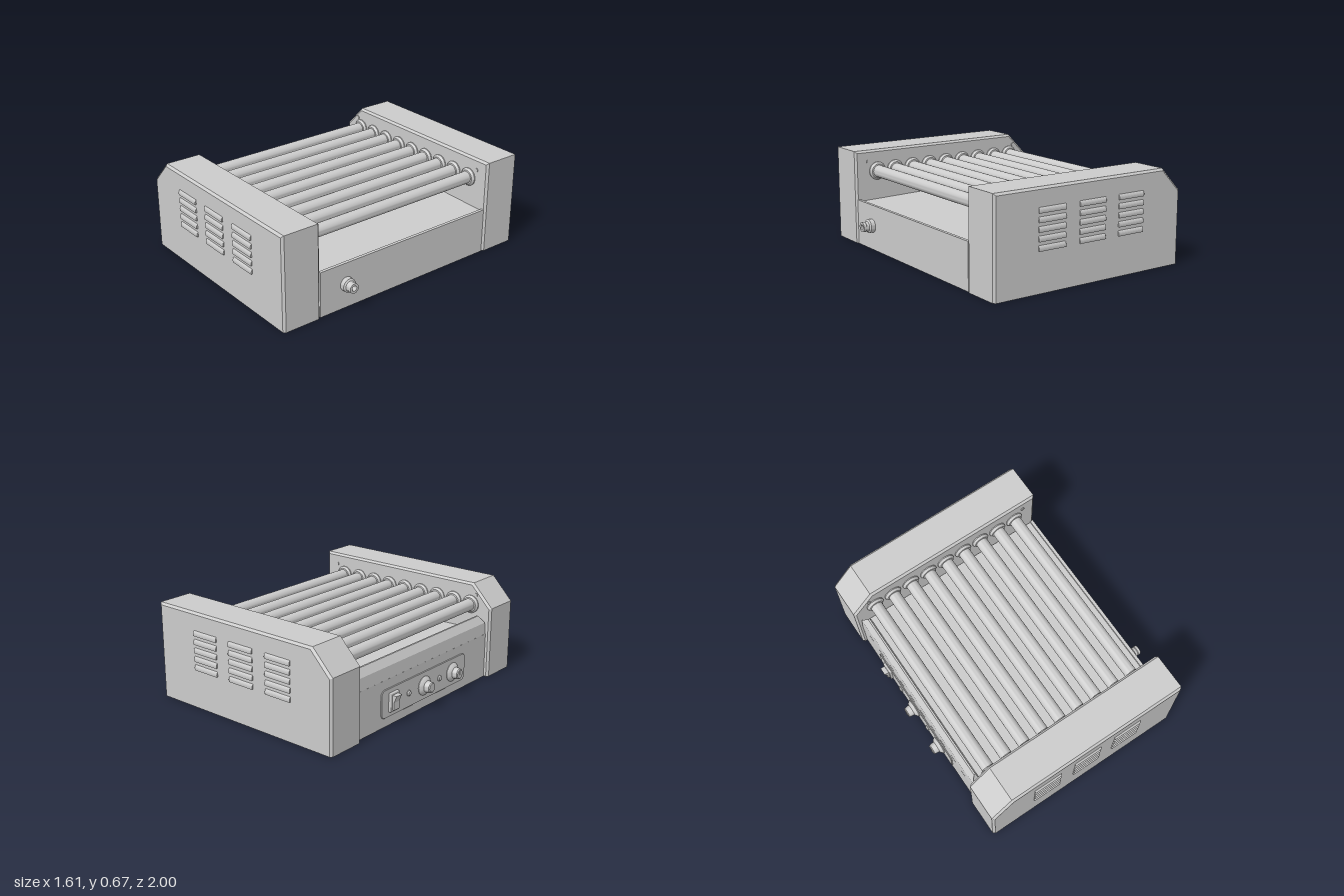
import * as THREE from 'three';
import { toCreasedNormals } from 'three/addons/utils/BufferGeometryUtils.js';
import { RoundedBoxGeometry } from 'three/addons/geometries/RoundedBoxGeometry.js';

const grey = new THREE.MeshStandardMaterial({ color: 0xcccccc });

function add(parent, name, geometry, x = 0, y = 0, z = 0) {
  const mesh = new THREE.Mesh(geometry, grey);
  mesh.name = name;
  mesh.position.set(x, y, z);
  parent.add(mesh);
  return mesh;
}

const polygon = (pts) => new THREE.Shape(pts.map(([x, y]) => new THREE.Vector2(x, y)));

// Prism along z, centred on z = 0
function prism(pts, depth) {
  return new THREE.ExtrudeGeometry(polygon(pts), { depth, bevelEnabled: false }).translate(0, 0, -depth / 2);
}

// Turned part with crisp edges; profile is [radius, height]
function turned(profile, segments = 32) {
  const lathe = new THREE.LatheGeometry(profile.map(([r, h]) => new THREE.Vector2(r, h)), segments);
  return toCreasedNormals(lathe, 0.5);
}

function roundedRect(w, h, r) {
  const s = new THREE.Shape();
  const x = w / 2, y = h / 2;
  s.absarc(x - r, y - r, r, 0, Math.PI / 2);
  s.absarc(-x + r, y - r, r, Math.PI / 2, Math.PI);
  s.absarc(-x + r, -y + r, r, Math.PI, Math.PI * 1.5);
  s.absarc(x - r, -y + r, r, Math.PI * 1.5, Math.PI * 2);
  return s;
}

// End housing with a sloped corner, bevelled edges and a flat bottom
function housingGeometry() {
  const b = 0.015;
  const g = new THREE.ExtrudeGeometry(
    polygon([[-0.75, b], [0.715, b], [0.715, 0.65], [-0.604, 0.65], [-0.75, 0.499]]),
    { depth: 0.25, bevelEnabled: true, bevelSize: b, bevelThickness: b, bevelSegments: 1 });
  const p = g.attributes.position;
  for (let i = 0; i < p.count; i++) if (p.getY(i) < 0.03) p.setY(i, 0);
  g.computeVertexNormals();
  return g.translate(0, 0, 0.725);
}

function createHousing(name, turn) {
  const group = new THREE.Group();
  group.name = name;
  add(group, 'housingShell', housingGeometry());

  // Three columns of pressed louvres, hooded at the top
  const hood = new THREE.Shape();
  hood.moveTo(-0.004, -0.017);
  hood.lineTo(0.008, -0.017);
  hood.quadraticCurveTo(0.013, 0.008, -0.004, 0.018);
  const louvre = new THREE.ExtrudeGeometry(hood, {
    depth: 0.196, bevelEnabled: true, bevelSize: 0.002, bevelThickness: 0.006, bevelSegments: 2, curveSegments: 6,
  }).translate(0, 0, -0.098).rotateY(-Math.PI / 2);
  for (const x of [-0.335, -0.018, 0.3])
    for (let row = 0; row < 5; row++) add(group, 'louvre', louvre, x, 0.288 + row * 0.059, 0.99);

  // Screws on the inner wall
  const screw = new THREE.CylinderGeometry(0.013, 0.013, 0.01, 16).rotateX(Math.PI / 2);
  for (const x of [-0.64, 0.63]) add(group, 'innerScrew', screw, x, 0.585, 0.709);

  if (turn) group.scale.z = -1;
  return group;
}

function createBody() {
  const group = new THREE.Group();
  group.name = 'body';
  // Base box whose top is a gently sloping drip floor
  add(group, 'baseAndDripFloor', prism(
    [[-0.735, 0], [0.722, 0], [0.722, 0.32], [0.7, 0.32], [0.7, 0.305], [-0.67, 0.34], [-0.735, 0.32]], 1.41));

  // Raised lip above the control panel, mitred at both ends
  const lip = prism([[-0.735, 0.315], [-0.66, 0.315], [-0.683, 0.455], [-0.695, 0.455], [-0.728, 0.402]], 1.4);
  const p = lip.attributes.position;
  for (let i = 0; i < p.count; i++) if (p.getY(i) > 0.45) p.setZ(i, p.getZ(i) * 0.945);
  lip.computeVertexNormals();
  add(group, 'frontLip', lip);
  return group;
}

function createControls() {
  const group = new THREE.Group();
  group.name = 'controls';
  const y = 0.16;
  const face = -0.735;

  // Rounded control plate
  const plate = new THREE.ExtrudeGeometry(roundedRect(0.92, 0.19, 0.035), {
    depth: 0.006, bevelEnabled: true, bevelSize: 0.002, bevelThickness: 0.002, bevelSegments: 1,
  }).rotateY(-Math.PI / 2);
  add(group, 'controlPlate', plate, face, y, -0.02);

  // Rotary knobs with a skirt and a pointer ridge
  const knob = turned([[0.066, 0], [0.066, 0.012], [0.05, 0.03], [0.04, 0.034], [0.036, 0.068], [0.03, 0.074], [0, 0.074]]);
  for (const z of [-0.03, 0.29]) {
    add(group, 'knob', knob, face, y, z).rotation.z = Math.PI / 2;
    add(group, 'knobPointer', new THREE.BoxGeometry(0.008, 0.062, 0.012), face - 0.072, y, z);
  }

  // Indicator lamps
  const lamp = turned([[0.02, 0], [0.02, 0.012], [0.014, 0.02], [0, 0.024]], 20);
  for (const z of [-0.2, 0.14]) add(group, 'indicatorLamp', lamp, face, y, z).rotation.z = Math.PI / 2;

  // Rocker switch
  add(group, 'switchFrame', new RoundedBoxGeometry(0.03, 0.13, 0.09, 2, 0.006), face - 0.01, y, -0.365);
  const rocker = new THREE.ExtrudeGeometry(
    polygon([[0, -0.05], [0, 0.05], [-0.034, 0.05], [-0.014, 0], [-0.016, -0.05]]),
    { depth: 0.056, bevelEnabled: false });
  add(group, 'switchRocker', rocker, face - 0.023, y, -0.393);
  return group;
}

export function createModel() {
  const model = new THREE.Group();
  model.name = 'rollerGrill';

  model.add(createHousing('frontHousing', false), createHousing('backHousing', true), createBody(), createControls());

  // Nine heating rollers with bearing collars at both ends
  const half = [[0.064, 0.72], [0.064, 0.703], [0.052, 0.688], [0.043, 0.686]];
  const profile = [...half.map(([r, h]) => [r, -h]), ...half.slice().reverse()];
  const roller = turned(profile).rotateX(Math.PI / 2);
  for (let i = 0; i < 9; i++) add(model, 'roller', roller, -0.6 + i * 0.1445, 0.512, 0);

  // Cable gland on the rear panel
  const gland = turned([[0.048, 0], [0.048, 0.034], [0.036, 0.042], [0.032, 0.06], [0.036, 0.064],
    [0.034, 0.083], [0.018, 0.083], [0.018, 0.05], [0, 0.05]]);
  add(model, 'cableGland', gland, 0.72, 0.172, 0.5).rotation.z = -Math.PI / 2;

  return model;
}
